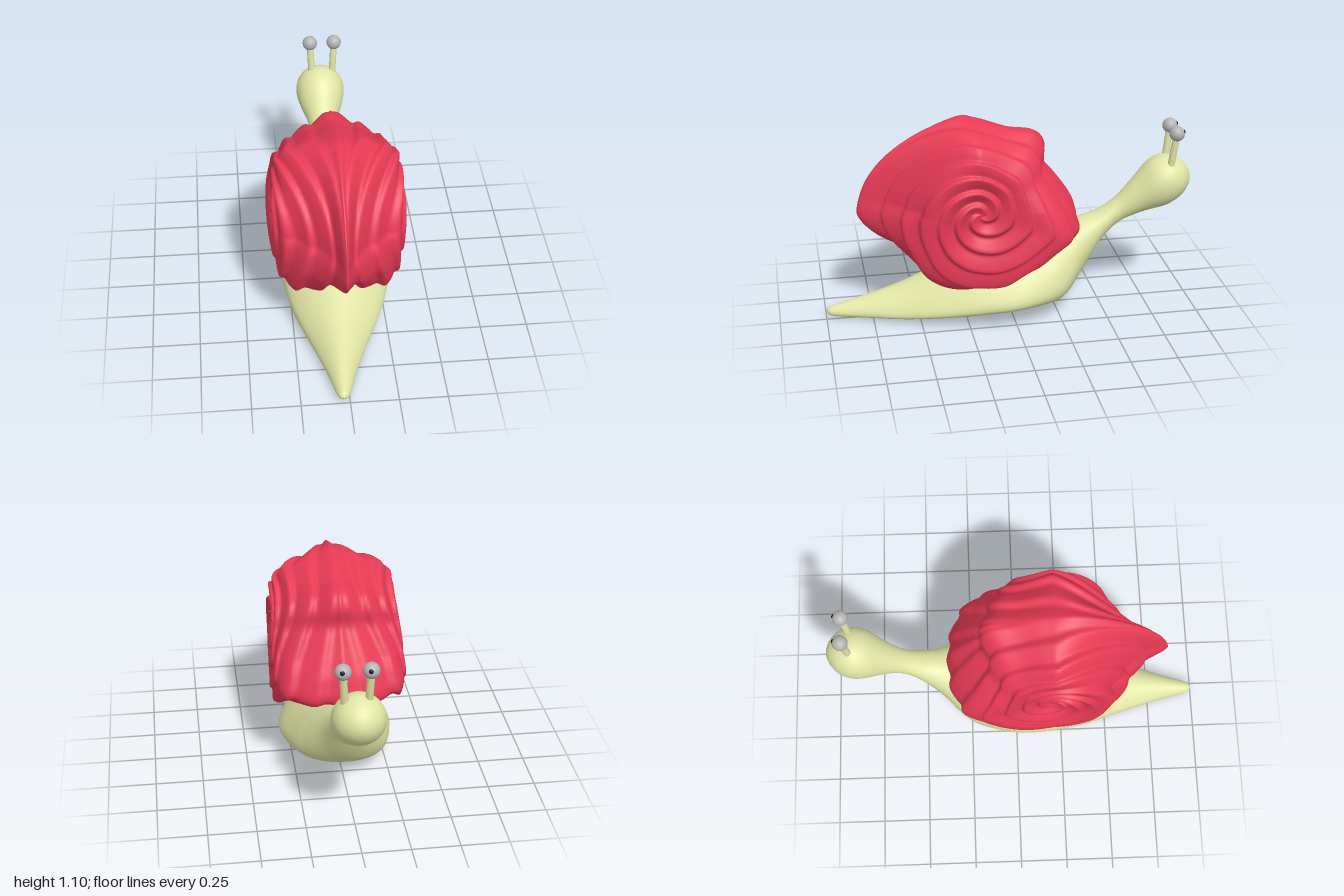
import * as THREE from 'three';

const material = color => new THREE.MeshStandardMaterial({ color, roughness: 0.75 });

// Closed rings joined into one smooth skin
function loft(rows) {
  const n = rows[0].length, pos = [], idx = [];
  rows.forEach(row => row.forEach(p => pos.push(...p)));
  for (let i = 0; i < rows.length - 1; i++) {
    for (let j = 0; j < n; j++) {
      const a = i * n + j, b = i * n + (j + 1) % n;
      idx.push(a, b, a + n, b, b + n, a + n);
    }
  }
  const g = new THREE.BufferGeometry();
  g.setAttribute('position', new THREE.Float32BufferAttribute(pos, 3));
  g.setIndex(idx);
  g.computeVertexNormals();
  return g;
}

const spline = (pts, closed = false) =>
  new THREE.CatmullRomCurve3(pts.map(p => new THREE.Vector3(...p)), closed, 'catmullrom', 0.5);

// Foot, neck and head: one skin from tail to nose
function bodyGeometry() {
  // z, bottom, top, half width, height of widest point (0..1), lower roundness (1 = round)
  const s = [
    [1.0, 0.034, 0.036, 0.001, 0.5, 0.9], [0.985, 0.015, 0.055, 0.024, 0.45, 0.85],
    [0.94, 0.007, 0.07, 0.041, 0.4, 0.75],
    [0.8, 0.0, 0.11, 0.08, 0.35, 0.65], [0.6, 0.0, 0.17, 0.15, 0.3, 0.6],
    [0.4, 0.02, 0.25, 0.23, 0.3, 0.55], [0.2, 0.04, 0.34, 0.285, 0.3, 0.55],
    [0.0, 0.055, 0.39, 0.305, 0.3, 0.6], [-0.2, 0.06, 0.45, 0.26, 0.33, 0.7],
    [-0.3, 0.09, 0.475, 0.205, 0.38, 0.85], [-0.4, 0.2, 0.5, 0.13, 0.5, 1],
    [-0.5, 0.36, 0.535, 0.085, 0.5, 1], [-0.6, 0.455, 0.605, 0.066, 0.5, 1],
    [-0.7, 0.5, 0.715, 0.09, 0.5, 1], [-0.78, 0.525, 0.8, 0.124, 0.5, 1],
    [-0.86, 0.545, 0.828, 0.137, 0.5, 1], [-0.93, 0.585, 0.805, 0.115, 0.5, 1],
    [-0.975, 0.63, 0.765, 0.07, 0.5, 1], [-0.995, 0.67, 0.725, 0.028, 0.5, 1],
    [-1.0, 0.697, 0.699, 0.001, 0.5, 1],
  ];
  const heights = spline(s.map(r => [r[0], r[1], r[2]]));
  const shapes = spline(s.map(r => [r[3], r[4], r[5]]));
  const rows = [], steps = (s.length - 1) * 5, sides = 56;
  for (let i = 0; i <= steps; i++) {
    const { x: z, y: bottom, z: top } = heights.getPoint(i / steps);
    const { x: w, y: f, z: e } = shapes.getPoint(i / steps);
    const mid = bottom + (top - bottom) * f;
    // the foot sits a little off the middle line
    const shift = z > -0.4 ? 0.01 * Math.min(1, (z + 0.4) * 3) - 0.042 * Math.max(0, z) : 0;
    rows.push(Array.from({ length: sides }, (_, j) => {
      const a = j / sides * Math.PI * 2, sn = Math.sin(a), cs = Math.cos(a);
      const p = cs < 0 ? e : 1;
      const slope = cs > 0 ? 1 - cs * (1 - e) * 0.6 : 1;
      const x = w * slope * Math.sign(sn) * Math.abs(sn) ** p;
      const low = cs < 0 ? Math.abs(cs) ** p : 0;
      const y = cs > 0 ? mid + (top - mid) * cs : mid - (mid - bottom) * low;
      // the sole tilts a little towards one side
      const tilt = z > -0.4 ? 0.09 * x * low * Math.min(1, (z + 0.4) * 4) : 0;
      return [x + shift, Math.max(0, y + tilt), z];
    }));
  }
  return loft(rows);
}

// Shell: a whorl with spiral folds, mirrored about its middle seam
function shellGeometry() {
  const cz = 0.2, cy = 0.68;
  // outline as z, y
  const outline = spline([
    [-0.31, 0.68], [-0.36, 0.58], [-0.37, 0.47], [-0.2, 0.41], [-0.05, 0.355], [0.1, 0.275],
    [0.3, 0.24], [0.48, 0.28], [0.6, 0.38], [0.72, 0.47], [0.805, 0.58], [0.81, 0.66],
    [0.76, 0.8], [0.65, 0.93], [0.48, 1.04], [0.3, 1.1], [0.15, 1.08], [0, 1.04],
    [-0.14, 1.02], [-0.195, 0.95], [-0.19, 0.85], [-0.24, 0.78],
  ].map(([z, y]) => [0, y, z]), true);
  // radius fraction, half width: full drum, and the pinched back
  const drum = spline([[0, 0.315, 0], [0.28, 0.33, 0], [0.5, 0.335, 0], [0.66, 0.32, 0],
    [0.78, 0.28, 0], [0.87, 0.2, 0], [0.94, 0.1, 0], [1, 0, 0]]);
  const pinched = spline([[0, 0.315, 0], [0.26, 0.33, 0], [0.46, 0.328, 0], [0.56, 0.285, 0],
    [0.64, 0.2, 0], [0.73, 0.13, 0], [0.82, 0.06, 0], [1, 0, 0]]);
  const rows = [], half = 80, ring = 200, arms = 3;
  for (let i = 0; i <= half * 2; i++) {
    const u = 1 - Math.abs(i / half - 1), side = i <= half ? 1 : -1;
    const d = drum.getPointAt(u), b = pinched.getPointAt(u);
    const lean = u * u * (3 - 2 * u);
    rows.push(Array.from({ length: ring }, (_, j) => {
      const p = outline.getPointAt(j / ring);
      const dz = p.z - cz, dy = p.y - cy, r = Math.hypot(dz, dy);
      const a = Math.atan2(dy, -dz), cs = Math.cos(a), sn = Math.sin(a), down = Math.max(0, -sn);
      // narrow at the back and upper front, broad at the front lip and below
      const pinch = cs < 0 ? Math.abs(cs) * (1 - 0.85 * down)
        : sn > 0 ? 0.45 * Math.sin(2 * a) : 0.3 * Math.sin(2 * a);
      const s = THREE.MathUtils.lerp(d.x, b.x, pinch), w = THREE.MathUtils.lerp(d.y, b.y, pinch);
      // inner whorls are rounder than the rim
      const rad = s * THREE.MathUtils.lerp(0.46, r, s * s);
      // folds swirl outwards and overlap like drapery
      const wave = arms * a - Math.PI * 2 * 6.5 * u + 0.35 * Math.sin(2 * a + 4 * u);
      const fold = Math.sin(wave + 0.45 * Math.sin(wave)) + 0.35 * Math.sin(2 * a + 9 * u);
      const h = 0.015 * fold * Math.min(1, u * 6) * (1 - 0.7 * u ** 8);
      // lower flanks hang over the body while the seam between them is drawn up
      const hang = 1 + 0.4 * down * s * w / 0.33 - 0.25 * down * down * u ** 6;
      const bulge = 1 + 0.06 * s * (Math.max(0, Math.cos(a + 0.35)) - Math.max(0, sn));
      const R = Math.min(r, rad * hang) + h * lean;
      const x = u === 1 ? 0 : Math.max(0, w * bulge + h * (1 - lean));
      return [side * x, cy + R * dy / r, cz + R * dz / r];
    }));
  }
  return loft(rows);
}

export function createModel() {
  const model = new THREE.Group();
  const skin = material(0xe0e4a4), red = material(0xe63a54);
  const grey = material(0xb4b4b4), black = material(0x141414);
  const add = (name, geometry, mat, parent = model) => {
    const m = new THREE.Mesh(geometry, mat);
    m.name = name;
    parent.add(m);
    return m;
  };

  add('body', bodyGeometry(), skin);
  add('shell', shellGeometry(), red);

  // Eye stalks with eyeballs looking ahead
  for (const [name, x] of [['left', 0.083], ['right', -0.053]]) {
    const stalk = new THREE.Group();
    stalk.name = name + 'EyeStalk';
    const base = new THREE.Vector3(x * 0.85, 0.77, -0.87), tip = new THREE.Vector3(x, 0.975, -0.895);
    add('stalk', new THREE.TubeGeometry(new THREE.LineCurve3(base, tip), 4, 0.019, 20), skin, stalk);
    add('eyeball', new THREE.SphereGeometry(0.041, 28, 20), grey, stalk).position.copy(tip);
    const pupil = add('pupil', new THREE.SphereGeometry(0.014, 16, 12), black, stalk);
    pupil.position.set(x + 0.006, 0.985, -0.924);
    model.add(stalk);
  }
  return model;
}
